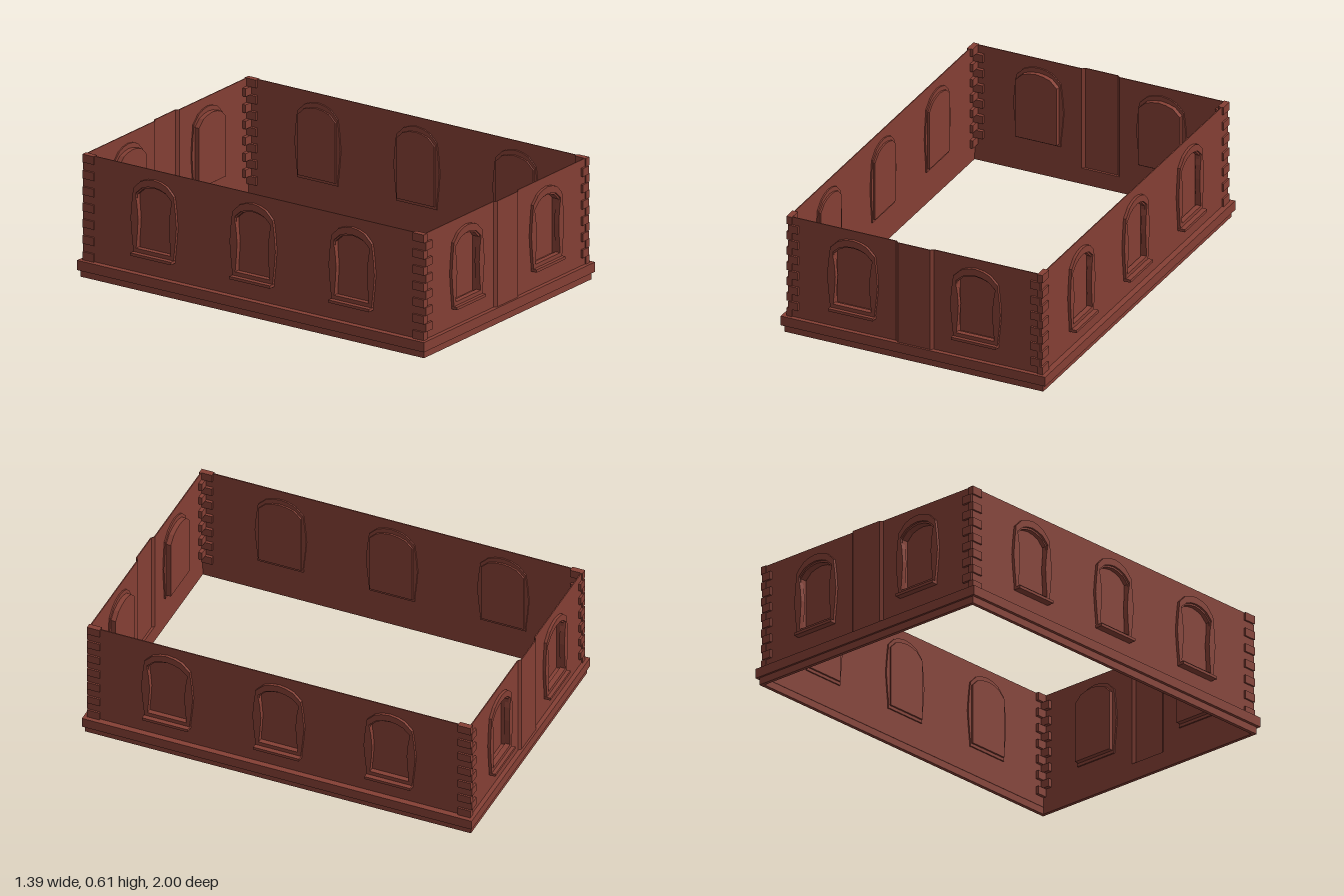
import * as THREE from 'three';

const HX = 0.658, HZ = 0.968;          // outer wall faces
const Y0 = 0.035, TOP = 0.605, THICK = 0.005;
const mat = new THREE.MeshStandardMaterial({ color: 0x843f34, flatShading: true, side: THREE.DoubleSide });

function add(parent, name, geo, x = 0, y = 0, z = 0) {
  const m = new THREE.Mesh(geo, mat);
  m.name = name;
  m.position.set(x, y, z);
  parent.add(m);
  return m;
}

// box given by its two opposite corners
function block(parent, name, x0, x1, y0, y1, z0, z1) {
  const geo = new THREE.BoxGeometry(Math.abs(x1 - x0), y1 - y0, Math.abs(z1 - z0));
  return add(parent, name, geo, (x0 + x1) / 2, (y0 + y1) / 2, (z0 + z1) / 2);
}

// symmetric outline from its right half, listed bottom to top, apex last
function outline(half, cx = 0) {
  const right = half.map(([x, y]) => new THREE.Vector2(cx + x, y));
  const left = half.filter(([x]) => x > 0).reverse().map(([x, y]) => new THREE.Vector2(cx - x, y));
  return [...right, ...left];
}

function extrude(points, holes, z0, z1) {
  const shape = new THREE.Shape(points);
  holes.forEach(h => shape.holes.push(new THREE.Path(h)));
  const geo = new THREE.ExtrudeGeometry(shape, { depth: z1 - z0, bevelEnabled: false });
  return geo.translate(0, 0, z0);
}

const FRAME = [[0.113, 0.172], [0.124, 0.27], [0.131, 0.35], [0.124, 0.43], [0.115, 0.5], [0.075, 0.54], [0.04, 0.554], [0, 0.56]];
const OPENING = [[0.099, 0.205], [0.092, 0.28], [0.088, 0.35], [0.094, 0.42], [0.104, 0.475], [0.068, 0.508], [0.035, 0.52], [0, 0.525]];
const NICHE_OUT = [[0.108, 0.187], [0.108, 0.485], [0.072, 0.52], [0.037, 0.531], [0, 0.536]];
const NICHE_IN = [[0.099, 0.196], [0.099, 0.468], [0.066, 0.5], [0.034, 0.511], [0, 0.516]];

// arched window: bulging frame, blind niche showing on the inside, sill
function addWindow(parent, cx, depth, sillOut) {
  const g = new THREE.Group();
  g.name = 'window';
  g.position.x = cx;
  parent.add(g);
  add(g, 'windowFrame', extrude(outline(FRAME), [outline(OPENING)], -0.012, 0.014));
  add(g, 'nicheSurround', extrude(outline(NICHE_OUT), [outline(NICHE_IN)], -depth, 0.004));
  add(g, 'nicheBack', extrude(outline(NICHE_IN), [], -depth, -depth + 0.004));
  block(g, 'windowSill', -0.116, 0.116, 0.172, 0.186, -0.012, sillOut);
}

// flat wall from x0 to x1 with an opening at each window
function addWall(parent, x0, x1, centres) {
  const pts = [[x0, Y0], [x1, Y0], [x1, TOP], [x0, TOP]].map(p => new THREE.Vector2(...p));
  add(parent, 'wall', extrude(pts, centres.map(c => outline(NICHE_IN, c)), -THICK, 0));
}

// end wall with a shallow projecting centre bay
function endWall() {
  const g = new THREE.Group();
  g.name = 'endWall';
  for (const s of [-1, 1]) {
    const a = s * 0.098, b = s * HX;
    addWall(g, Math.min(a, b), Math.max(a, b), [s * 0.32]);
    addWindow(g, s * 0.32, 0.036, 1 - HZ);
  }
  const t = THICK, out = 0.012;
  const plan = [[-0.098, 0], [-0.084, out], [0.084, out], [0.098, 0], [0.098, -t], [0.084, out - t], [-0.084, out - t], [-0.098, -t]];
  const geo = extrude(plan.map(([x, z]) => new THREE.Vector2(x, -z)), [], Y0, TOP);
  add(g, 'centreBay', geo.rotateX(-Math.PI / 2));
  return g;
}

function sideWall() {
  const g = new THREE.Group();
  g.name = 'sideWall';
  const centres = [-0.565, 0, 0.565];
  addWall(g, -HZ, HZ, centres);
  centres.forEach(c => addWindow(g, c, 0.021, 0.038));
  return g;
}

// rectangular ring course at the foot of the walls
function course(parent, name, ox, oz, y0, y1) {
  const rect = (x, z) => [[-x, -z], [x, -z], [x, z], [-x, z]].map(p => new THREE.Vector2(...p));
  const geo = extrude(rect(ox, oz), [rect(HX - 0.003, HZ - 0.005)], y0, y1);
  add(parent, name, geo.rotateX(-Math.PI / 2));
}

export function createModel() {
  const model = new THREE.Group();
  model.name = 'buildingStorey';

  course(model, 'plinth', 0.673, 0.98, 0, 0.035);
  course(model, 'ledge', 0.688, 0.99, 0.035, 0.083);

  for (const s of [-1, 1]) {
    const end = endWall();
    end.position.z = s * HZ;
    end.rotation.y = s > 0 ? 0 : Math.PI;
    const side = sideWall();
    side.position.x = s * HX;
    side.rotation.y = s * Math.PI / 2;
    model.add(end, side);
  }

  // interlocking corner stones, alternately long on the end and on the side
  const rows = 13, h = (TOP - 0.083) / rows;
  for (const sx of [-1, 1]) for (const sz of [-1, 1]) {
    const corner = new THREE.Group();
    corner.name = 'cornerStones';
    model.add(corner);
    for (let i = 0; i < rows; i++) {
      const y = 0.083 + i * h;
      if (i % 2) block(corner, 'endStone', sx * 0.605, sx * 0.656, y, y + h, sz * 0.945, sz * 0.979);
      else block(corner, 'sideStone', sx * 0.638, sx * 0.667, y, y + h, sz * 0.91, sz * 0.974);
    }
  }
  return model;
}
